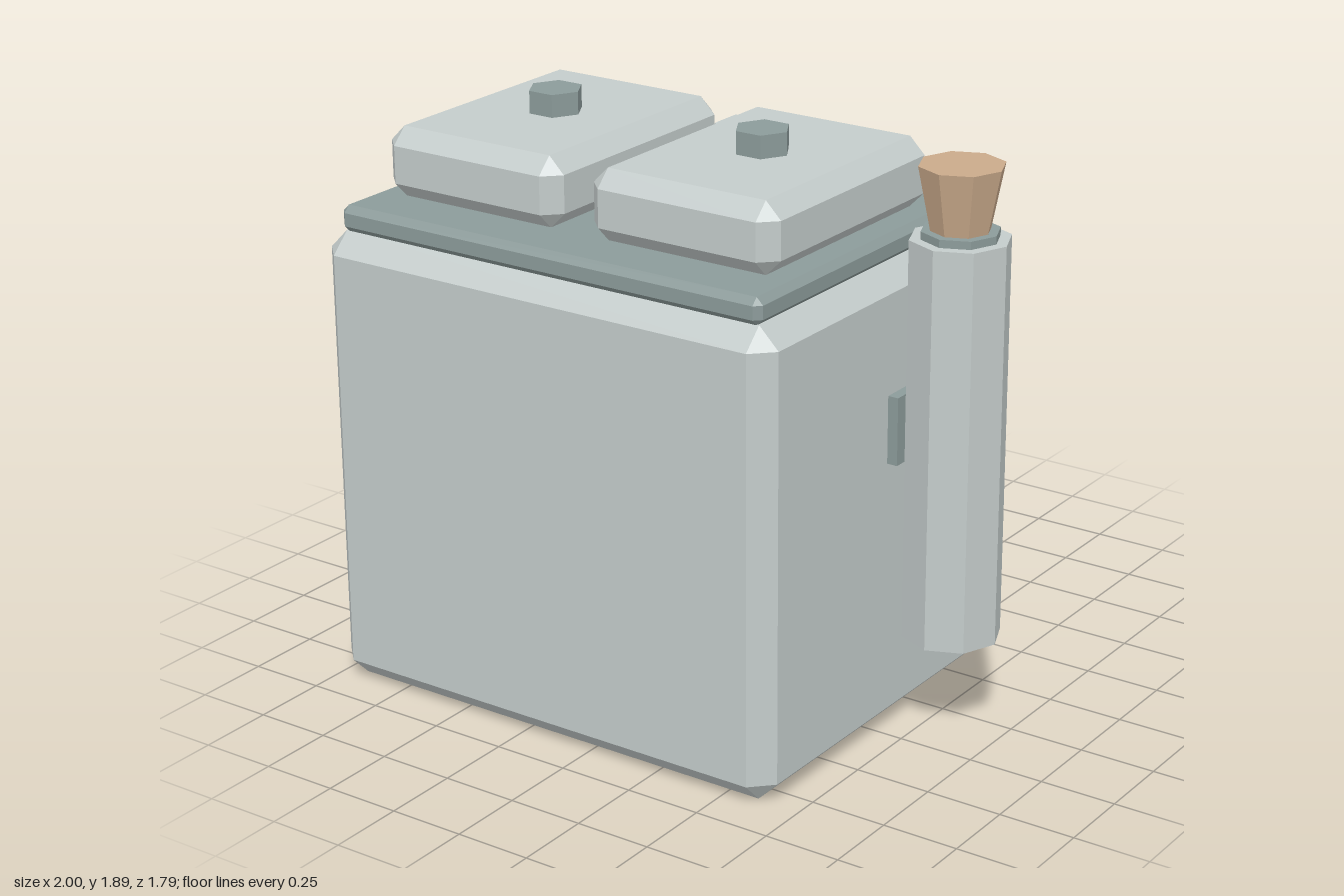
import * as THREE from 'three';
import { ConvexGeometry } from 'three/addons/geometries/ConvexGeometry.js';

const flat = (name, color) => {
  const m = new THREE.MeshStandardMaterial({ color, flatShading: true });
  m.name = name;
  return m;
};

// Box with every edge chamfered by c, given as min/max extents.
function chamferBox([x0, x1], [y0, y1], [z0, z1], c) {
  const h = [(x1 - x0) / 2, (y1 - y0) / 2, (z1 - z0) / 2];
  const points = [];
  for (const sx of [-1, 1]) for (const sy of [-1, 1]) for (const sz of [-1, 1]) {
    for (let full = 0; full < 3; full++) {
      const p = h.map((v, i) => (i === full ? v : v - c));
      points.push(new THREE.Vector3(p[0] * sx, p[1] * sy, p[2] * sz));
    }
  }
  return new ConvexGeometry(points).translate((x0 + x1) / 2, (y0 + y1) / 2, (z0 + z1) / 2);
}

function box([x0, x1], [y0, y1], [z0, z1]) {
  return new THREE.BoxGeometry(x1 - x0, y1 - y0, z1 - z0)
    .translate((x0 + x1) / 2, (y0 + y1) / 2, (z0 + z1) / 2);
}

// Upright faceted cylinder between two heights.
function post(x, z, [y0, y1], rTop, rBottom, sides, turn = 0) {
  return new THREE.CylinderGeometry(rTop, rBottom, y1 - y0, sides)
    .rotateY(turn).translate(x, (y0 + y1) / 2, z);
}

export function createModel() {
  const model = new THREE.Group();
  model.name = 'softServeMachine';
  const shell = flat('paleSteel', 0xc4cccb);
  const trim = flat('greyTeal', 0x8c9b9a);
  const wafer = flat('waferTan', 0xcaaa8b);
  const red = flat('softRed', 0xc98081);
  const add = (name, geometry, material, parent = model) => {
    const mesh = new THREE.Mesh(geometry, material);
    mesh.name = name;
    parent.add(mesh);
    return mesh;
  };
  const MID = -0.165; // centre line of the cabinet
  const HEX = Math.PI / 6;

  // Cabinet and top deck
  add('cabinet', chamferBox([-1, 0.67], [0, 1.51], [-0.44, 0.89], 0.067), shell);
  add('topDeck', chamferBox([-0.945, 0.615], [1.505, 1.592], [-0.385, 0.843], 0.022), trim);

  // Hopper lids with hexagonal knobs
  for (const side of [-1, 1]) {
    const x = MID + side * 0.39;
    add('hopperLid', chamferBox([x - 0.334, x + 0.334], [1.59, 1.817], [-0.19, 0.7], 0.053), shell);
    add('lidKnob', post(x, 0.25, [1.81, 1.89], 0.088, 0.088, 6, HEX), trim);
  }

  // Cone holder on the side
  add('holderBracket', box([0.66, 0.705], [0.9, 1.12], [0.01, 0.23]), trim);
  add('holderTube', post(0.843, 0.12, [0.34, 1.625], 0.157, 0.157, 8), shell);
  add('holderCollar', post(0.843, 0.12, [1.62, 1.65], 0.122, 0.122, 8), trim);
  add('cone', post(0.843, 0.12, [1.645, 1.85], 0.133, 0.092, 8), wafer);

  // Dispensing side: head, splash plate and drip tray
  add('dispenserHead', chamferBox([-0.89, 0.557], [0.845, 1.15], [-0.72, -0.38], 0.046), shell);
  add('splashPlate', chamferBox([-0.855, 0.525], [0.18, 0.86], [-0.472, -0.42], 0.012), trim);
  add('dripTray', chamferBox([-0.865, 0.535], [0.175, 0.253], [-0.69, -0.42], 0.022), trim);

  // Control plate with two buttons
  add('controlPlate', chamferBox([MID - 0.335, MID + 0.335], [1.21, 1.43], [-0.467, -0.42], 0.014), trim);
  for (const side of [-1, 1]) {
    const button = new THREE.CylinderGeometry(0.045, 0.045, 0.03, 6).rotateY(HEX).rotateX(Math.PI / 2);
    add('controlButton', button.translate(MID + side * 0.167, 1.32, -0.468), wafer);
  }

  // Three taps, each with lever, handle, nozzle and tray grate
  [shell, wafer, red].forEach((handleColor, i) => {
    const tap = new THREE.Group();
    tap.name = 'tap';
    model.add(tap);
    const x = MID + (i - 1) * 0.42;
    const lever = new THREE.BoxGeometry(0.055, 0.37, 0.05).rotateX(-0.52);
    add('lever', lever.translate(x, 1.265, -0.715), trim, tap);
    add('leverHandle', chamferBox([x - 0.088, x + 0.088], [1.403, 1.522], [-0.897, -0.72], 0.03), handleColor, tap);
    add('nozzle', post(x, -0.58, [0.663, 0.86], 0.055, 0.079, 6), shell, tap);
    add('nozzleTip', post(x, -0.58, [0.608, 0.67], 0.029, 0.029, 6), trim, tap);
    const gx = MID + (i - 1) * 0.45;
    add('trayGrate', box([gx - 0.18, gx + 0.18], [0.245, 0.276], [-0.663, -0.47]), shell, tap);
  });

  return model;
}
